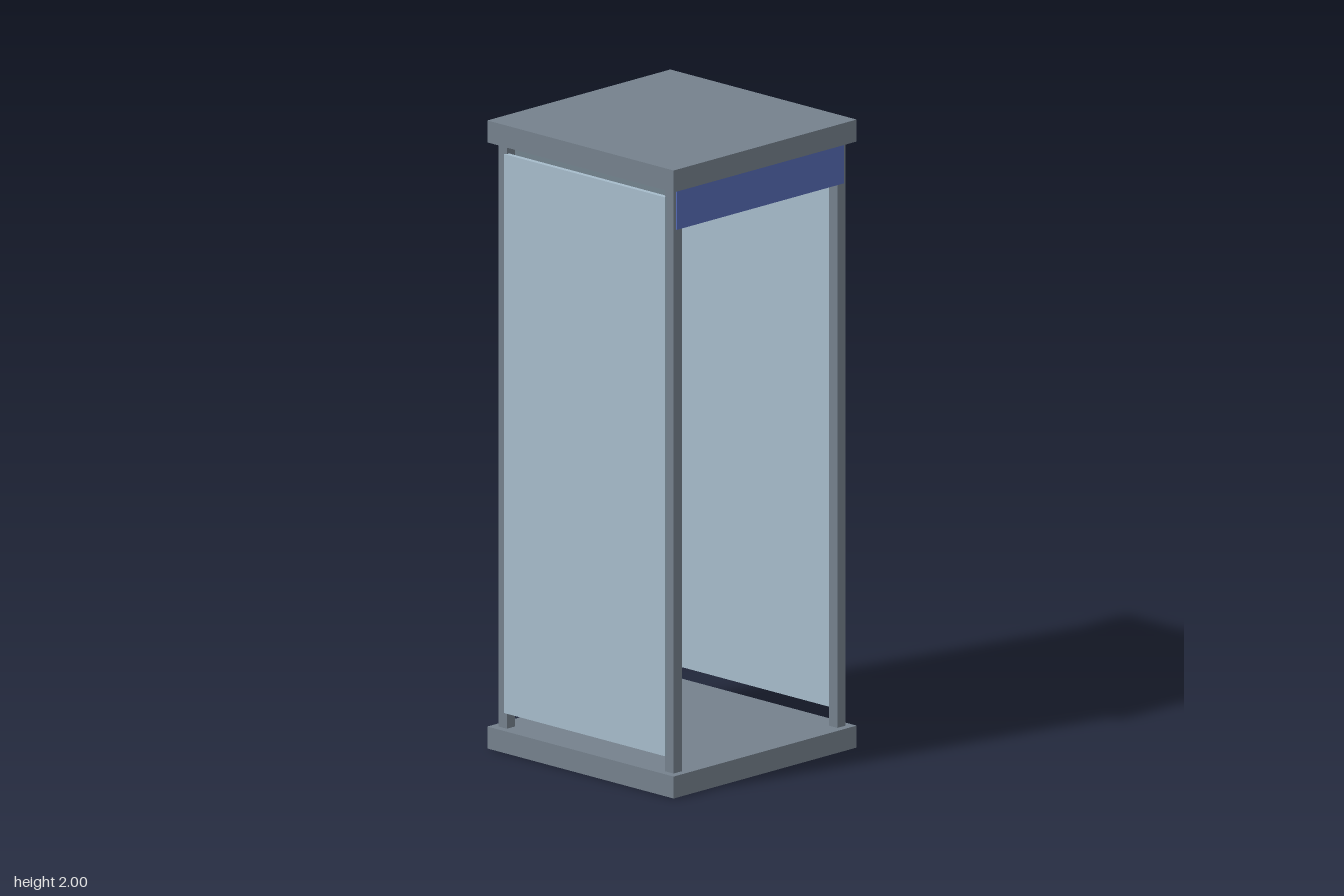
import * as THREE from 'three';

const material = (name, color) => {
  const m = new THREE.MeshStandardMaterial({ color });
  m.name = name;
  return m;
};

export function createModel() {
  const frame = material('slate frame', 0x75818d);
  const glass = material('pale blue glass', 0xa6bccb);
  const blue = material('sign blue', 0x566bb6);
  const dark = material('dark grey body', 0x545d65);
  const darker = material('charcoal handset', 0x4a5257);

  const booth = new THREE.Group();
  booth.name = 'phoneBooth';

  // Box given by its lower and upper corners
  const box = (name, mat, [x0, y0, z0], [x1, y1, z1], parent = booth) => {
    const mesh = new THREE.Mesh(new THREE.BoxGeometry(x1 - x0, y1 - y0, z1 - z0), mat);
    mesh.position.set((x0 + x1) / 2, (y0 + y1) / 2, (z0 + z1) / 2);
    mesh.name = name;
    parent.add(mesh);
    return mesh;
  };

  // Floor and roof slabs
  box('floor', frame, [-0.4, 0, -0.4], [0.4, 0.07, 0.4]);
  box('roof', frame, [-0.4, 1.93, -0.4], [0.4, 2, 0.4]);

  // Corner posts
  for (const x of [-0.358, 0.358]) {
    for (const z of [-0.358, 0.358]) {
      box('cornerPost', frame, [x - 0.018, 0.07, z - 0.018], [x + 0.018, 1.93, z + 0.018]);
    }
  }

  // Glass walls on the back and both sides; the front is open
  box('backGlass', glass, [-0.345, 0.12, -0.377], [0.345, 1.9, -0.362]);
  for (const s of [-1, 1]) {
    const side = box('sideGlass', glass, [-0.008, 0.12, -0.345], [0.008, 1.9, 0.345]);
    side.position.x = s * 0.374;
  }

  // Sign band above the entrance
  box('signBand', blue, [-0.365, 1.8, 0.362], [0.365, 1.925, 0.38]);

  // Telephone on the back wall
  const phone = new THREE.Group();
  phone.name = 'telephone';
  booth.add(phone);
  box('phoneBody', dark, [-0.172, 0.98, -0.362], [0.172, 1.4, -0.225], phone);
  box('phoneScreen', glass, [-0.105, 1.21, -0.23], [0.105, 1.3, -0.221], phone);

  // Keypad, its lowest row hanging below the body
  for (let row = 0; row < 4; row++) {
    for (let col = -1; col <= 1; col++) {
      const x = col * 0.098, y = 0.95 + row * 0.079;
      box('key', glass, [x - 0.027, y - 0.02, -0.235], [x + 0.027, y + 0.02, -0.215], phone);
    }
  }

  // Handset beside the body
  const handset = new THREE.Mesh(new THREE.CylinderGeometry(0.033, 0.033, 0.315, 24), darker);
  handset.position.set(-0.22, 1.188, -0.215);
  handset.name = 'handset';
  phone.add(handset);

  return booth;
}
